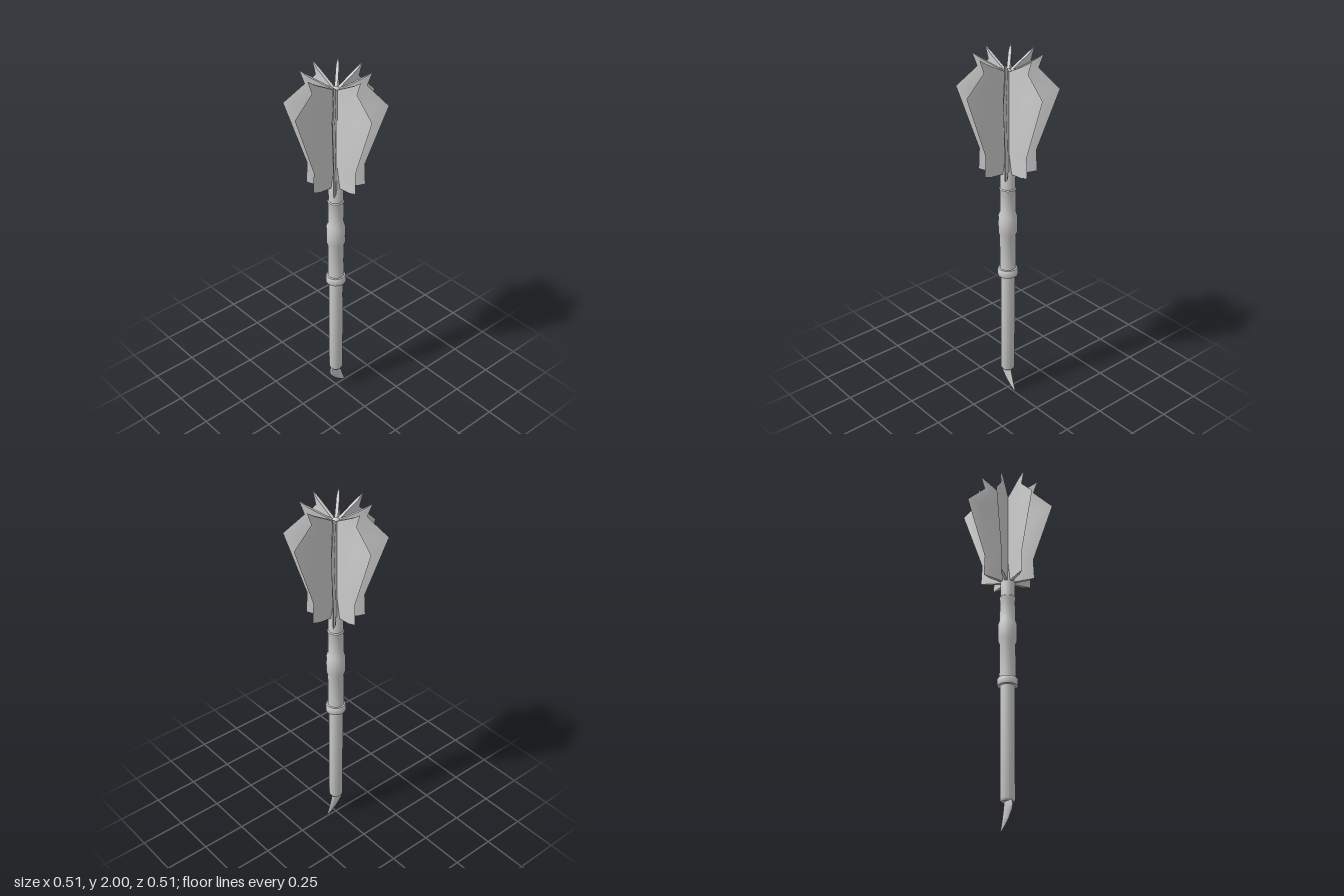
import * as THREE from 'three';
import { toCreasedNormals } from 'three/addons/utils/BufferGeometryUtils.js';

const material = new THREE.MeshStandardMaterial({ color: 0xcccccc });

function part(name, geometry) {
  const mesh = new THREE.Mesh(geometry, material);
  mesh.name = name;
  return mesh;
}

function lathe(points, sides = 16) {
  const profile = points.map(([r, y]) => new THREE.Vector2(r, y));
  return toCreasedNormals(new THREE.LatheGeometry(profile, sides), 0.6);
}

function fromQuads(quads) {
  const positions = [];
  for (const [a, b, c, d] of quads) positions.push(...a, ...b, ...c, ...a, ...c, ...d);
  const geometry = new THREE.BufferGeometry();
  geometry.setAttribute('position', new THREE.Float32BufferAttribute(positions, 3));
  return toCreasedNormals(geometry, 0.6);
}

// Flange: each row runs from the core through the bevel line to the sharp edge
function flangeGeometry() {
  const t = 0.008;
  const rows = [
    [[0, 1.365], [0.11, 1.373], [0.15, 1.38]],
    [[0, 1.5], [0.1, 1.5], [0.145, 1.495]],
    [[0, 1.82], [0.185, 1.82], [0.257, 1.825]],
    [[0, 1.89], [0.115, 1.92], [0.15, 1.93]],
    [[0, 1.9], [0.13, 1.97], [0.175, 2]],
  ];
  const at = (i, j, side) => [...rows[i][j], j === 2 ? 0 : side * t];
  const quads = [];
  for (let j = 0; j < 2; j++) {
    for (let i = 0; i < rows.length - 1; i++) {
      quads.push([at(i, j, 1), at(i, j + 1, 1), at(i + 1, j + 1, 1), at(i + 1, j, 1)]);
      quads.push([at(i, j + 1, -1), at(i, j, -1), at(i + 1, j, -1), at(i + 1, j + 1, -1)]);
    }
    const top = rows.length - 1;
    quads.push([at(top, j, 1), at(top, j + 1, 1), at(top, j + 1, -1), at(top, j, -1)]);
    quads.push([at(0, j, -1), at(0, j + 1, -1), at(0, j + 1, 1), at(0, j, 1)]);
  }
  return fromQuads(quads);
}

// Claw: oval sections [y, xMin, xMax, half thickness] closing to a point
function clawGeometry() {
  const sections = [
    [0, 0.07, 0.07, 0], [0.03, 0.022, 0.059, 0.005], [0.06, -0.012, 0.049, 0.008],
    [0.1, -0.042, 0.037, 0.012], [0.125, -0.047, 0.03, 0.014], [0.15, -0.036, 0.023, 0.015],
  ];
  const sides = 10;
  const at = (i, k) => {
    const [y, x0, x1, z] = sections[i];
    const a = (k % sides) / sides * Math.PI * 2;
    return [(x0 + x1) / 2 + Math.cos(a) * (x1 - x0) / 2, y, Math.sin(a) * z];
  };
  const quads = [];
  for (let i = 0; i < sections.length - 1; i++) {
    for (let k = 0; k < sides; k++) {
      quads.push([at(i, k), at(i + 1, k), at(i + 1, k + 1), at(i, k + 1)]);
    }
  }
  return fromQuads(quads);
}

export function createModel() {
  const model = new THREE.Group();
  model.name = 'flangedMace';

  model.add(part('pommelClaw', clawGeometry()));

  model.add(part('grip', lathe([
    [0, 0.142], [0.033, 0.142], [0.039, 0.152], [0.039, 0.77], [0, 0.77],
  ])));

  model.add(part('guardRing', lathe([
    [0, 0.76], [0.054, 0.76], [0.056, 0.765], [0.056, 0.795], [0.052, 0.803], [0.04, 0.806],
  ])));

  // Upper shaft with its swelling and thin lip
  model.add(part('upperShaft', lathe([
    [0.044, 0.79], [0.044, 1.0], [0.051, 1.02], [0.052, 1.07], [0.051, 1.115], [0.043, 1.14],
    [0.042, 1.26], [0.045, 1.268], [0.045, 1.275], [0.04, 1.28],
  ])));

  // Socket tapering into the core that carries the flanges
  model.add(part('headCore', lathe([
    [0.04, 1.27], [0.04, 1.375], [0.021, 1.48], [0.02, 1.9],
  ])));

  const finial = part('finial', new THREE.SphereGeometry(0.021, 12, 8));
  finial.position.y = 1.9;
  model.add(finial);

  // Eight flanges around the head
  const flanges = new THREE.Group();
  flanges.name = 'flanges';
  const blade = flangeGeometry();
  for (let i = 0; i < 8; i++) {
    const flange = part('flange', blade);
    flange.rotation.y = i * Math.PI / 4;
    flanges.add(flange);
  }
  model.add(flanges);

  return model;
}
